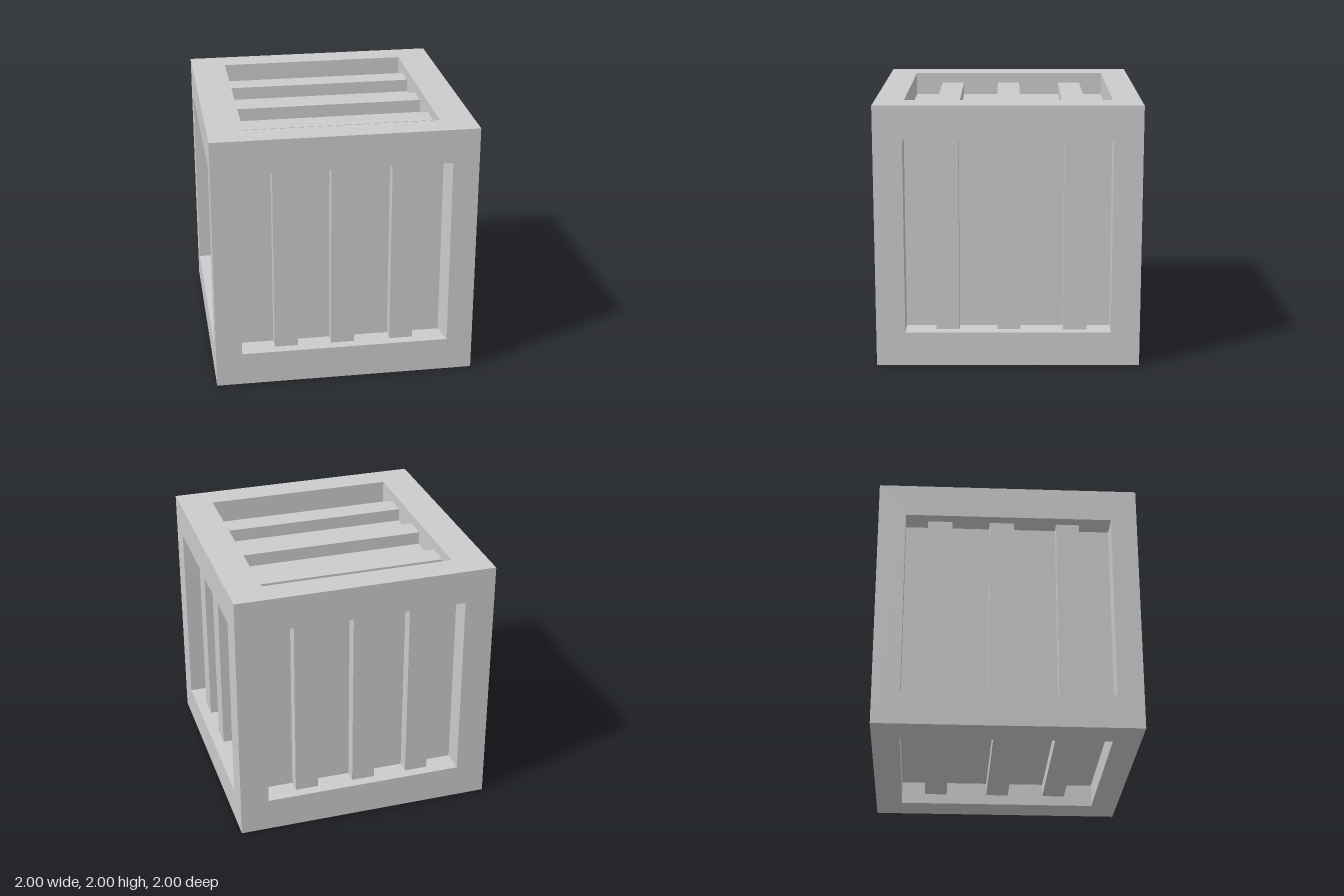
import * as THREE from 'three';

const material = new THREE.MeshStandardMaterial({ color: 0xcccccc, flatShading: true });

// Each side of the crate, drawn facing +z and then turned into place.
// opening: [left, right, bottom, top]; slats: [start, end] across the grain;
// shift slides the recess floor sideways, giving slightly raked walls.
const sides = [
  { name: 'front', turn: [0, 0], opening: [-0.8, 0.8, -0.74, 0.74], shift: -0.03,
    slats: [[-0.54, -0.36], [-0.1, 0.08], [0.36, 0.54]] },
  { name: 'back', turn: [0, Math.PI], opening: [-0.78, 0.77, -0.74, 0.74],
    slats: [[-0.54, -0.36], [-0.08, 0.1], [0.36, 0.54]] },
  { name: 'left', turn: [0, Math.PI / 2], opening: [-0.78, 0.78, -0.74, 0.74],
    slats: [[-0.545, -0.37], [-0.08, 0.095], [0.42, 0.6]] },
  { name: 'right', turn: [0, -Math.PI / 2], opening: [-0.79, 0.8, -0.74, 0.74], slatDepth: 0.09, depth: 0.19,
    slats: [[-0.62, -0.43], [-0.14, 0.05], [0.38, 0.56]] },
  { name: 'top', turn: [-Math.PI / 2, 0], opening: [-0.73, 0.74, -0.78, 0.785], across: true,
    slats: [[-0.56, -0.38], [-0.09, 0.09], [0.42, 0.6]] },
  { name: 'bottom', turn: [Math.PI / 2, 0], opening: [-0.73, 0.73, -0.79, 0.79], across: true,
    slats: [[-0.6, -0.42], [-0.09, 0.09], [0.38, 0.56]] },
];

function addMesh(group, name, geometry) {
  const mesh = new THREE.Mesh(geometry, material);
  mesh.name = name;
  group.add(mesh);
  return mesh;
}

// Corners run anticlockwise from the lower left
function corners([l, r, b, t]) {
  return [[l, b], [r, b], [r, t], [l, t]];
}

// Square border with the opening cut out, lying in the outer plane of the side
function frameGeometry(opening) {
  const shape = new THREE.Shape(corners([-1, 1, -1, 1]).map(([x, y]) => new THREE.Vector2(x, y)));
  shape.holes.push(new THREE.Path(corners(opening).reverse().map(([x, y]) => new THREE.Vector2(x, y))));
  return new THREE.ShapeGeometry(shape).translate(0, 0, 1);
}

// Four walls from the opening down to the floor, plus the floor
function recessGeometry(opening, depth, shift) {
  const rim = corners(opening).map(([x, y]) => [x, y, 1]);
  const floor = corners(opening).map(([x, y]) => [x + shift, y, 1 - depth]);
  const index = [4, 5, 6, 4, 6, 7];
  for (let i = 0; i < 4; i++) {
    const j = (i + 1) % 4;
    index.push(i, j, j + 4, i, j + 4, i + 4);
  }
  const geometry = new THREE.BufferGeometry();
  geometry.setAttribute('position', new THREE.Float32BufferAttribute([...rim, ...floor].flat(), 3));
  geometry.setIndex(index);
  const flat = geometry.toNonIndexed();
  flat.computeVertexNormals();
  return flat;
}

function makeSide({ name, turn, opening, slats, across = false, shift = 0, depth = 0.18, slatDepth = 0.08 }) {
  const side = new THREE.Group();
  side.name = name + 'Side';
  addMesh(side, name + 'Frame', frameGeometry(opening));
  addMesh(side, name + 'Recess', recessGeometry(opening, depth, shift));

  // Raised slats standing on the recess floor
  const [l, r, b, t] = opening;
  const thickness = depth - slatDepth;
  slats.forEach(([start, end], i) => {
    const width = end - start;
    const middle = (start + end) / 2;
    const slat = addMesh(side, `${name}Slat${i + 1}`, across
      ? new THREE.BoxGeometry(r - l, width, thickness)
      : new THREE.BoxGeometry(width, t - b, thickness));
    slat.position.set(across ? (l + r) / 2 : middle, across ? middle : (b + t) / 2, 1 - slatDepth - thickness / 2);
  });

  side.rotation.set(turn[0], turn[1], 0);
  side.position.y = 1;
  return side;
}

export function createModel() {
  const crate = new THREE.Group();
  crate.name = 'crate';
  sides.forEach((side) => crate.add(makeSide(side)));
  return crate;
}
